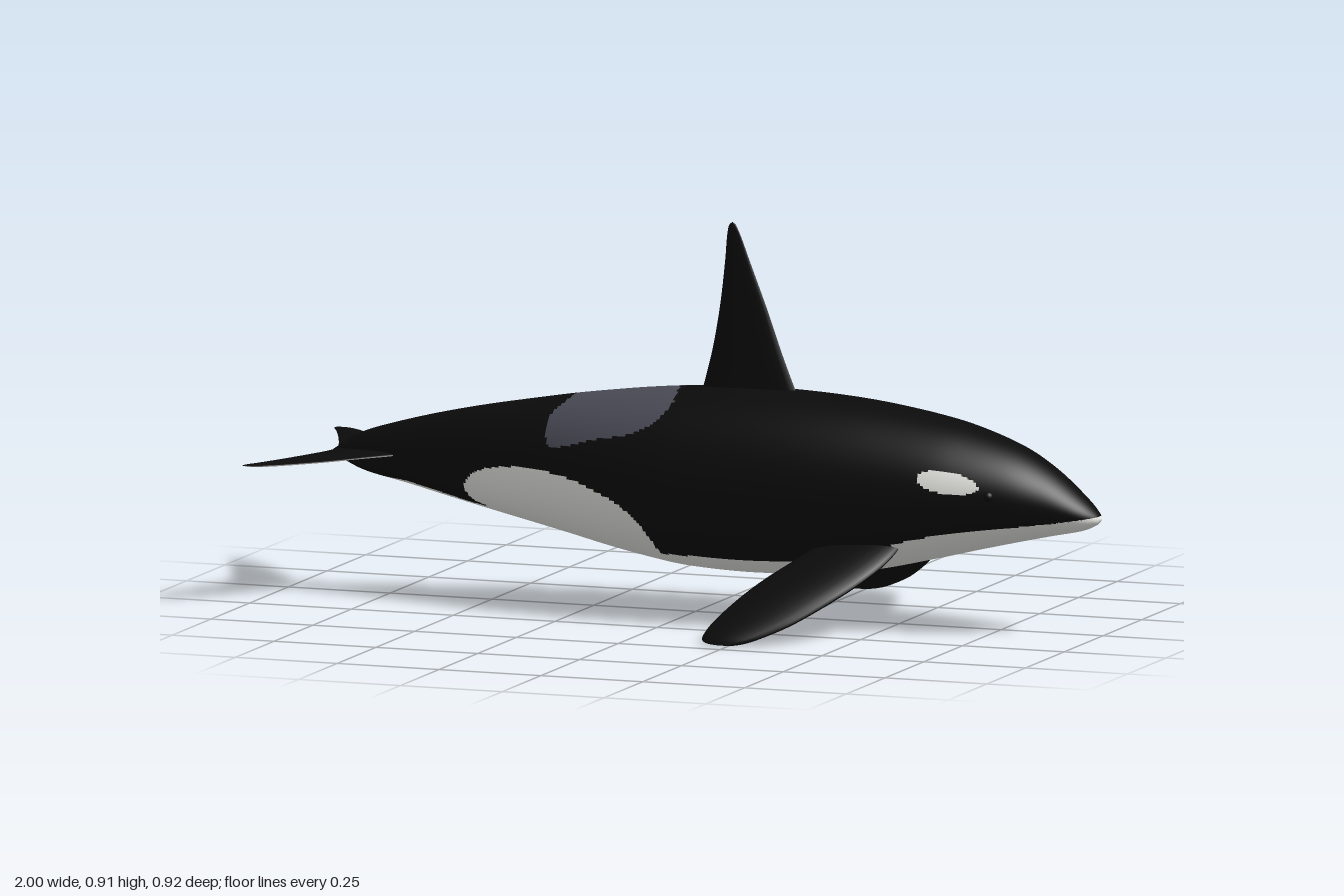
import * as THREE from 'three';

const paint = (name, color) => {
  const m = new THREE.MeshStandardMaterial({ color });
  m.name = name;
  return m;
};
const V = (x, y, z = 0) => new THREE.Vector3(x, y, z);

// Closed smooth outline from a few [a, b] points
function outline(pts) {
  return new THREE.CatmullRomCurve3(pts.map(p => V(p[0], p[1])), true, 'centripetal').getPoints(100);
}

function inside(poly, x, y) {
  let hit = false;
  for (let i = 0, j = poly.length - 1; i < poly.length; j = i++) {
    const a = poly[i], b = poly[j];
    if ((a.y > y) !== (b.y > y) && x < (b.x - a.x) * (y - a.y) / (b.y - a.y) + a.x) hit = !hit;
  }
  return hit;
}

// Fin lofted along its span from lens-shaped sections.
// section: { lead, trail, t } with t = half thickness along normal n; arc [a0, a1] picks a side
function finGeometry(sections, n, a0 = 0, a1 = Math.PI * 2, flip = false) {
  const steps = 24, pos = [], idx = [];
  // smooth the sections along the span
  const curve = key => new THREE.CatmullRomCurve3(sections.map(s => s[key]), false, 'catmullrom');
  const lead = curve('lead'), trail = curve('trail');
  const thick = new THREE.CatmullRomCurve3(sections.map(s => V(s.t, 0)), false, 'catmullrom');
  const rows = 32;
  for (let i = 0; i <= rows; i++) {
    const u = i / rows, L = lead.getPoint(u), T = trail.getPoint(u), t = Math.max(0, thick.getPoint(u).x);
    const mid = L.clone().add(T).multiplyScalar(0.5), half = L.sub(mid);
    for (let j = 0; j <= steps; j++) {
      const a = a0 + (a1 - a0) * j / steps;
      const p = mid.clone().addScaledVector(half, Math.cos(a)).addScaledVector(n, t * Math.sin(a));
      pos.push(p.x, p.y, p.z);
    }
  }
  for (let i = 0; i < rows; i++) for (let j = 0; j < steps; j++) {
    const a = i * (steps + 1) + j, b = a + 1, c = b + steps + 1, d = c - 1;
    if (flip) idx.push(a, c, b, a, d, c);
    else idx.push(a, b, c, a, c, d);
  }
  const g = new THREE.BufferGeometry();
  g.setAttribute('position', new THREE.Float32BufferAttribute(pos, 3));
  g.setIndex(idx);
  g.computeVertexNormals();
  return g;
}

// Body stations: x, top y, bottom y, half width
const BODY = [
  [-0.89, 0.333, 0.327, 0.004], [-0.85, 0.36, 0.305, 0.018], [-0.8, 0.385, 0.286, 0.028], [-0.7, 0.415, 0.264, 0.042],
  [-0.6, 0.44, 0.24, 0.06], [-0.5, 0.461, 0.217, 0.083], [-0.4, 0.479, 0.195, 0.11],
  [-0.3, 0.496, 0.173, 0.14], [-0.2, 0.51, 0.15, 0.167], [-0.1, 0.522, 0.13, 0.188],
  [0, 0.53, 0.115, 0.201], [0.15, 0.535, 0.108, 0.207], [0.3, 0.531, 0.114, 0.206],
  [0.45, 0.518, 0.131, 0.196], [0.6, 0.494, 0.165, 0.177], [0.7, 0.469, 0.19, 0.155],
  [0.8, 0.432, 0.214, 0.124], [0.88, 0.385, 0.232, 0.09], [0.95, 0.328, 0.247, 0.055],
  [0.985, 0.294, 0.262, 0.026], [0.998, 0.276, 0.276, 0],
];

// Markings: belly, flank and eye patch in side projection, saddle in plan
const BELLY = [
  [1.02, 0.287], [0.9, 0.271], [0.8, 0.259], [0.7, 0.249], [0.6, 0.23], [0.54, 0.213], [0.46, 0.178], [0.38, 0.157],
  [0.2, 0.155], [-0.06, 0.155], [-0.3, 0.2], [-0.54, 0.234], [-0.6, 0.249], [-0.7, 0.273],
  [-0.82, 0.284], [-0.82, 0], [1.02, 0],
].map(p => V(p[0], p[1]));
const FLANK = outline([
  [-0.05, 0.15], [-0.058, 0.2], [-0.1, 0.255], [-0.2, 0.307], [-0.3, 0.331], [-0.4, 0.336], [-0.5, 0.318],
  [-0.543, 0.285], [-0.538, 0.25], [-0.48, 0.222], [-0.3, 0.15],
]);
const SADDLE = outline([
  [-0.29, 0], [-0.3, 0.05], [-0.328, 0.09], [-0.32, 0.122], [-0.27, 0.138], [-0.2, 0.147], [-0.1, 0.155],
  [-0.045, 0.14], [-0.02, 0.1], [-0.035, 0], [-0.02, -0.1], [-0.045, -0.14], [-0.1, -0.155],
  [-0.2, -0.147], [-0.27, -0.138], [-0.32, -0.122], [-0.328, -0.09], [-0.3, -0.05],
]);
const EYE_PATCH = outline([
  [0.605, 0.378], [0.63, 0.391], [0.68, 0.39], [0.73, 0.372], [0.747, 0.352], [0.72, 0.34], [0.67, 0.341], [0.62, 0.357],
]);

function markingAt(x, y, z, mid) {
  if (y > mid && inside(SADDLE, x, z)) return 2;
  if (inside(EYE_PATCH, x, y) || inside(BELLY, x, y) || inside(FLANK, x, y)) return 1;
  return 0;
}

function makeBody(materials) {
  const rows = 300, cols = 180, pos = [], index = [[], [], []];
  const heights = new THREE.CatmullRomCurve3(BODY.map(s => V(s[0], s[1], s[2])), false, 'catmullrom');
  const widths = new THREE.CatmullRomCurve3(BODY.map(s => V(s[0], s[3])), false, 'catmullrom');
  const mids = [];
  for (let i = 0; i <= rows; i++) {
    const h = heights.getPoint(i / rows), w = Math.max(0, widths.getPoint(i / rows).y);
    const mid = (h.y + h.z) / 2, r = (h.y - h.z) / 2;
    mids.push(mid);
    for (let j = 0; j < cols; j++) {
      const a = j / cols * Math.PI * 2;
      pos.push(h.x, mid + r * Math.sin(a), w * Math.cos(a));
    }
  }
  for (let i = 0; i < rows; i++) for (let j = 0; j < cols; j++) {
    const k = (j + 1) % cols;
    const a = i * cols + j, b = a + cols, c = (i + 1) * cols + k, d = i * cols + k;
    const centre = q => (pos[a * 3 + q] + pos[c * 3 + q]) / 2;
    index[markingAt(centre(0), centre(1), centre(2), mids[i])].push(a, b, c, a, c, d);
  }
  // one smooth skin, split into a mesh per colour
  const skin = new THREE.BufferGeometry();
  skin.setAttribute('position', new THREE.Float32BufferAttribute(pos, 3));
  skin.setIndex(index.flat());
  skin.computeVertexNormals();
  const body = new THREE.Group();
  body.name = 'body';
  ['bodySkin', 'whiteMarkings', 'saddlePatch'].forEach((name, m) => {
    const g = new THREE.BufferGeometry();
    g.setAttribute('position', skin.getAttribute('position'));
    g.setAttribute('normal', skin.getAttribute('normal'));
    g.setIndex(index[m]);
    const mesh = new THREE.Mesh(g, materials[m]);
    mesh.name = name;
    body.add(mesh);
  });
  return body;
}

export function createModel() {
  const black = paint('black', 0x0b0b0c), white = paint('white', 0xe6e6e2), grey = paint('saddleGrey', 0x4a4a56);
  const model = new THREE.Group();
  model.name = 'orca';
  const add = (name, geometry, material) => {
    const mesh = new THREE.Mesh(geometry, material);
    mesh.name = name;
    model.add(mesh);
    return mesh;
  };
  model.add(makeBody([black, white, grey]));

  // Dorsal fin: y, trailing x, leading x, half thickness
  const dorsal = [
    [0.49, 0.01, 0.268, 0.02], [0.53, 0.019, 0.247, 0.018], [0.62, 0.042, 0.211, 0.015], [0.72, 0.06, 0.175, 0.011],
    [0.82, 0.072, 0.136, 0.007], [0.88, 0.077, 0.113, 0.004], [0.908, 0.082, 0.1, 0.003], [0.916, 0.09, 0.092, 0],
  ].map(([y, tr, le, t]) => ({ lead: V(le, y), trail: V(tr, y), t }));
  add('dorsalFin', finGeometry(dorsal, V(0, 0, -1)), black);

  // Flippers: z, y, trailing x, leading x, half thickness
  const flipper = [
    [0.1, 0.215, 0.4, 0.55, 0.016], [0.15, 0.19, 0.345, 0.543, 0.022], [0.2, 0.164, 0.31, 0.526, 0.024],
    [0.26, 0.132, 0.268, 0.493, 0.024], [0.32, 0.097, 0.231, 0.447, 0.023], [0.38, 0.058, 0.198, 0.388, 0.019],
    [0.42, 0.031, 0.183, 0.333, 0.015], [0.445, 0.015, 0.186, 0.288, 0.01], [0.458, 0.009, 0.22, 0.25, 0],
  ];
  // Flukes: z, trailing x, leading x, half thickness
  const fluke = [
    [0, -0.885, -0.7, 0.008], [0.04, -0.893, -0.73, 0.007], [0.1, -0.914, -0.778, 0.006], [0.18, -0.946, -0.837, 0.005],
    [0.25, -0.977, -0.901, 0.004], [0.29, -0.997, -0.948, 0.003], [0.305, -0.998, -0.985, 0],
  ];
  for (const [side, s] of [['left', -1], ['right', 1]]) {
    const flip = s < 0;
    const f = flipper.map(([z, y, tr, le, t]) => ({ lead: V(le, y, z * s), trail: V(tr, y, z * s), t }));
    add(side + 'Flipper', finGeometry(f, V(0, 0.86, 0.5 * s), 0, Math.PI * 2, flip), black);

    const k = fluke.map(([z, tr, le, t]) => ({ lead: V(le, 0.333, z * s), trail: V(tr, 0.333, z * s), t }));
    add(side + 'FlukeTop', finGeometry(k, V(0, 1, 0), 0, Math.PI, flip), black);
    add(side + 'FlukeUnderside', finGeometry(k, V(0, 1, 0), Math.PI, Math.PI * 2, flip), white);

    // Eye just ahead of the white patch
    add(side + 'Eye', new THREE.SphereGeometry(0.012, 16, 12), black).position.set(0.768, 0.335, 0.131 * s);
  }
  return model;
}
